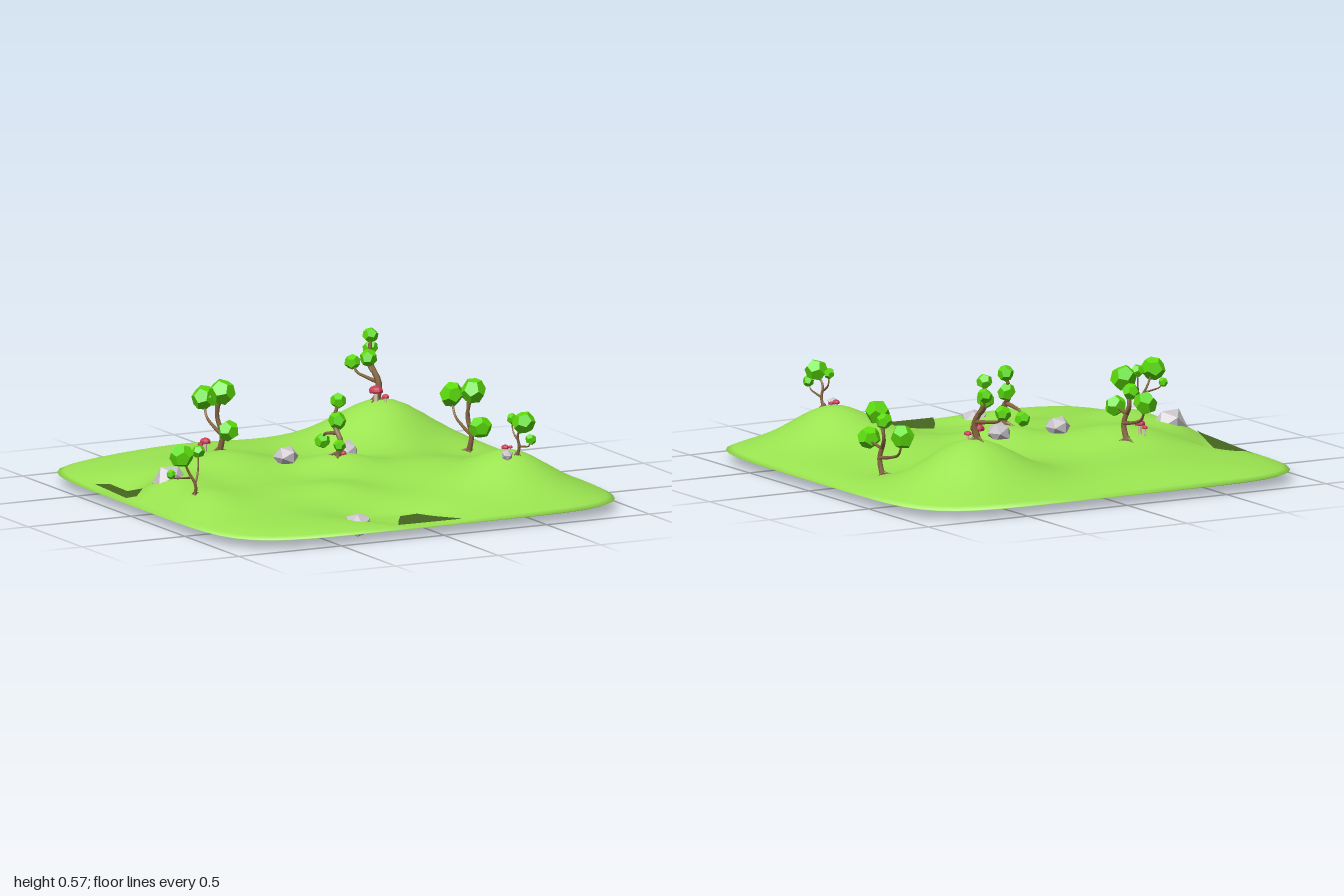
import * as THREE from 'three';

const mat = (color, flatShading = true, side = THREE.FrontSide) =>
  new THREE.MeshStandardMaterial({ color, flatShading, side, roughness: 0.9 });
const GRASS = mat(0x9ae450, false), SOIL = mat(0x46661f, false, THREE.DoubleSide);
const BARK = mat(0x8a6a42, false), LEAF = mat(0x5cdc0b), STONE = mat(0xc9c5ca);
const CAP = mat(0xcc3c55, true, THREE.DoubleSide), STEM = mat(0xd9c8b0);
const V = (x, y, z) => new THREE.Vector3(x, y, z);

function add(group, name, geometry, material) {
  const mesh = new THREE.Mesh(geometry, material);
  mesh.name = name;
  group.add(mesh);
  return mesh;
}

// Hills and hollows: x, z, height, spread
const HILLS = [
  [0.53, -0.57, 0.185, 0.2], [0.55, 0.56, 0.15, 0.17], [0, 0.03, 0.085, 0.14],
  [-0.42, -0.22, 0.09, 0.19], [-0.82, -0.03, 0.06, 0.12], [-0.5, 0.25, 0.025, 0.2],
  [-0.2, 0.42, 0.045, 0.13], [0.4, 0.15, 0.05, 0.2], [-0.84, 0.3, 0.055, 0.14],
  [-0.3, -0.75, 0.03, 0.25], [0.66, -0.28, -0.04, 0.14], [-0.22, 0.68, -0.045, 0.14],
  [-0.04, 0.87, -0.07, 0.12], [-0.95, -0.27, -0.08, 0.12],
];
const N = 6, SIZE = 0.99;
const squareNorm = (x, z) => (Math.abs(x) ** N + Math.abs(z) ** N) ** (1 / N);
function groundHeight(x, z) {
  const t = Math.min(1, squareNorm(x, z) / SIZE);
  let h = 0.05;
  for (const [cx, cz, a, s] of HILLS) h += a * Math.exp(-((x - cx) ** 2 + (z - cz) ** 2) / (2 * s * s));
  return 0.054 + Math.max(0, h) * (1 - t ** 10);
}

// Rounded-square island: rings over the top, then a flat underside
function groundGeometry() {
  const SEG = 96, RINGS = 36, pos = [], idx = [], rings = [];
  for (let i = 0; i <= RINGS; i++) rings.push([Math.pow(i / RINGS, 0.85), true]);
  rings.push([0.985, false], [0.6, false], [0, false]);
  const last = rings.length - 1;
  rings.forEach(([t, top], i) => {
    for (let j = 0; j < SEG; j++) {
      const a = (j / SEG) * Math.PI * 2, c = Math.cos(a), s = Math.sin(a);
      const k = i === last - 1 ? t : (SIZE * t) / squareNorm(c, s);
      pos.push(c * k, top ? groundHeight(c * k, s * k) : 0.047, s * k);
    }
  });
  for (let i = 0; i < last; i++) {
    for (let j = 0; j < SEG; j++) {
      const a = i * SEG + j, b = i * SEG + ((j + 1) % SEG), c = a + SEG, d = b + SEG;
      if (i > 0) idx.push(a, b, c);
      if (i < last - 1) idx.push(b, d, c);
      else idx.push(a, b, c);
      if (i === 0) idx.push(b, d, c);
    }
  }
  const g = new THREE.BufferGeometry();
  g.setAttribute('position', new THREE.Float32BufferAttribute(pos, 3));
  g.setIndex(idx);
  g.computeVertexNormals();
  // Soft rim: the edge shades outward, the centres straight up and down
  const nrm = g.attributes.normal;
  for (let j = 0; j < SEG; j++) {
    const a = (j / SEG) * Math.PI * 2, out = V(Math.cos(a), 0.55, Math.sin(a)).normalize();
    nrm.setXYZ(j, 0, 1, 0);
    nrm.setXYZ(RINGS * SEG + j, out.x, out.y, out.z);
    nrm.setXYZ((RINGS + 1) * SEG + j, out.x, 0, out.z);
    nrm.setXYZ((last - 1) * SEG + j, 0, -1, 0);
    nrm.setXYZ(last * SEG + j, 0, -1, 0);
  }
  return g;
}

// Bare patch from an outline of [x, z] points, laid at the height given by a rule
function patchGeometry(points, height) {
  const g = new THREE.ShapeGeometry(new THREE.Shape(points.map(([x, z]) => new THREE.Vector2(x, -z))));
  g.rotateX(-Math.PI / 2);
  const p = g.attributes.position;
  for (let i = 0; i < p.count; i++) p.setY(i, height(p.getX(i), p.getZ(i)));
  g.computeVertexNormals();
  return g;
}

// Tube that narrows from r0 to r1
function taperedTube(curve, r0, r1) {
  const SEG = 14, SIDES = 6, g = new THREE.TubeGeometry(curve, SEG, 1, SIDES);
  const p = g.attributes.position, v = V(0, 0, 0);
  for (let i = 0; i < p.count; i++) {
    const t = Math.floor(i / (SIDES + 1)) / SEG, c = curve.getPointAt(t);
    v.fromBufferAttribute(p, i).sub(c).multiplyScalar(r0 + (r1 - r0) * t).add(c);
    p.setXYZ(i, v.x, v.y, v.z);
  }
  return g;
}

// Tree: the trunk ends in the first leaf clump, a branch bends to each other one
function tree(base, r, clumps) {
  const group = new THREE.Group();
  group.name = 'tree';
  const [mx, my, mz] = clumps[0];
  const foot = V(base[0], groundHeight(...base) - 0.015, base[1]), tip = V(mx, my, mz);
  const at = (t, dx, dz) => {
    const p = foot.clone().lerp(tip, t * t);
    return p.setY(foot.y + (tip.y - foot.y) * t).add(V(dx, 0, dz));
  };
  const trunk = new THREE.CatmullRomCurve3([foot, at(0.3, r * 0.6, r * 1.1), at(0.6, -r * 0.6, -r), tip]);
  add(group, 'trunk', taperedTube(trunk, r * 1.2, r * 0.5), BARK);
  clumps.forEach(([x, y, z, size], i) => {
    const end = V(x, y, z);
    if (i > 0) {
      const s = trunk.getPointAt(i === 1 ? 0.3 : 0.45), d = end.clone().sub(s);
      const mid = s.clone().add(V(d.x * 0.45, d.y * 0.15, d.z * 0.45));
      const bend = s.clone().add(V(d.x * 0.85, d.y * 0.4, d.z * 0.85));
      add(group, 'branch', taperedTube(new THREE.CatmullRomCurve3([s, mid, bend, end]), r * 0.75, r * 0.35), BARK);
    }
    const leaf = add(group, 'leafClump', new THREE.DodecahedronGeometry(size * 1.08), LEAF);
    leaf.position.copy(end);
    leaf.scale.set(1, 1.05, 1.1);
    leaf.rotation.set(i * 1.3 + x, i + z * 3, 0.4);
  });
  // Short roots
  for (let k = 0; k < 3; k++) {
    const a = k * 2.1 + base[0] * 5, x = base[0] + Math.cos(a) * r * 3, z = base[1] + Math.sin(a) * r * 3;
    const curve = new THREE.LineCurve3(foot.clone().add(V(0, 0.025, 0)), V(x, groundHeight(x, z) - 0.004, z));
    add(group, 'root', taperedTube(curve, r * 0.6, r * 0.25), BARK);
  }
  return group;
}

// Angular stone: an icosahedron pushed in and out by a position rule
function stoneGeometry(seed) {
  const g = new THREE.IcosahedronGeometry(1, 0), p = g.attributes.position;
  for (let i = 0; i < p.count; i++) {
    const x = p.getX(i), y = p.getY(i), z = p.getZ(i);
    const k = 1 + 0.07 * Math.sin(x * 5 + y * 3 + z * 7 + seed);
    p.setXYZ(i, x * k, y * k, z * k);
  }
  return g;
}

function mushroom(x, z, y, r) {
  const group = new THREE.Group(), foot = groundHeight(x, z) - 0.01, h = Math.max(0.02, y - foot);
  group.name = 'mushroom';
  add(group, 'stem', new THREE.CylinderGeometry(r * 0.25, r * 0.35, h, 6), STEM).position.y = h / 2;
  const cap = add(group, 'cap', new THREE.SphereGeometry(r, 8, 5, 0, Math.PI * 2, 0, Math.PI * 0.62), CAP);
  cap.position.y = h;
  cap.scale.y = 0.7;
  group.position.set(x, foot, z);
  return group;
}

export function createModel() {
  const model = new THREE.Group();
  add(model, 'ground', groundGeometry(), GRASS);

  // Bare patches show on the grass and on the underside
  const patches = {
    frontBarePatch: [[-0.2, 0.96], [-0.16, 0.88], [-0.09, 0.765], [0, 0.75], [0.04, 0.83], [0.11, 0.965]],
    sideBarePatch: [[-0.97, -0.1], [-0.945, -0.44], [-0.89, -0.4], [-0.875, -0.27], [-0.9, -0.08], [-0.95, -0.04]],
  };
  for (const [name, points] of Object.entries(patches)) {
    add(model, name, patchGeometry(points, (x, z) => groundHeight(x, z) + 0.008), SOIL);
    add(model, name + 'Underside', patchGeometry(points, () => 0.045), SOIL);
  }

  // Trees: foot [x, z], trunk radius, clumps [x, y, z, size]
  const trees = [
    [[0.5, -0.58], 0.014, [[0.515, 0.55, -0.66, 0.03], [0.475, 0.42, -0.75, 0.031], [0.485, 0.46, -0.62, 0.035], [0.525, 0.49, -0.68, 0.03]]],
    [[-0.36, -0.4], 0.013, [[-0.365, 0.435, -0.36, 0.052], [-0.33, 0.365, -0.6, 0.048], [-0.4, 0.29, -0.235, 0.042], [-0.35, 0.39, -0.445, 0.033]]],
    [[-0.02, 0.05], 0.014, [[0, 0.43, 0.02, 0.032], [-0.035, 0.25, 0.1, 0.024], [-0.03, 0.24, -0.07, 0.03], [-0.01, 0.345, 0.03, 0.036]]],
    [[0.76, -0.22], 0.012, [[0.77, 0.365, -0.19, 0.05], [0.8, 0.3, -0.45, 0.048], [0.735, 0.23, -0.06, 0.044], [0.785, 0.34, -0.27, 0.032]]],
    [[0.56, 0.61], 0.007, [[0.565, 0.395, 0.665, 0.045], [0.56, 0.335, 0.74, 0.022], [0.56, 0.395, 0.565, 0.022]]],
    [[-0.84, 0.29], 0.007, [[-0.91, 0.32, 0.3, 0.046], [-0.81, 0.325, 0.265, 0.026], [-0.975, 0.25, 0.325, 0.018]]],
  ];
  for (const t of trees) model.add(tree(...t));

  // Stones: x, y, z, half sizes
  const stones = [
    [-0.79, 0.13, -0.04, 0.085, 0.088, 0.072], [-0.21, 0.19, -0.065, 0.057, 0.045, 0.058],
    [0.08, 0.19, -0.055, 0.055, 0.048, 0.056], [-0.33, 0.06, 0.835, 0.05, 0.058, 0.06],
    [0.505, 0.25, 0.625, 0.026, 0.026, 0.026],
  ];
  stones.forEach(([x, y, z, sx, sy, sz], i) => {
    const s = add(model, 'stone', stoneGeometry(i * 1.7), STONE);
    s.position.set(x, y, z);
    s.scale.set(sx, sy, sz);
    s.rotation.y = i * 0.3;
  });

  // Mushrooms: x, z, cap height, cap radius
  const mushrooms = [
    [0.49, -0.56, 0.325, 0.032], [0.52, -0.53, 0.3, 0.017], [-0.45, -0.355, 0.225, 0.024], [-0.46, -0.38, 0.21, 0.013],
    [0, 0.065, 0.2, 0.016], [0.535, 0.55, 0.268, 0.017], [0.56, 0.55, 0.26, 0.011],
  ];
  for (const m of mushrooms) model.add(mushroom(...m));
  return model;
}
